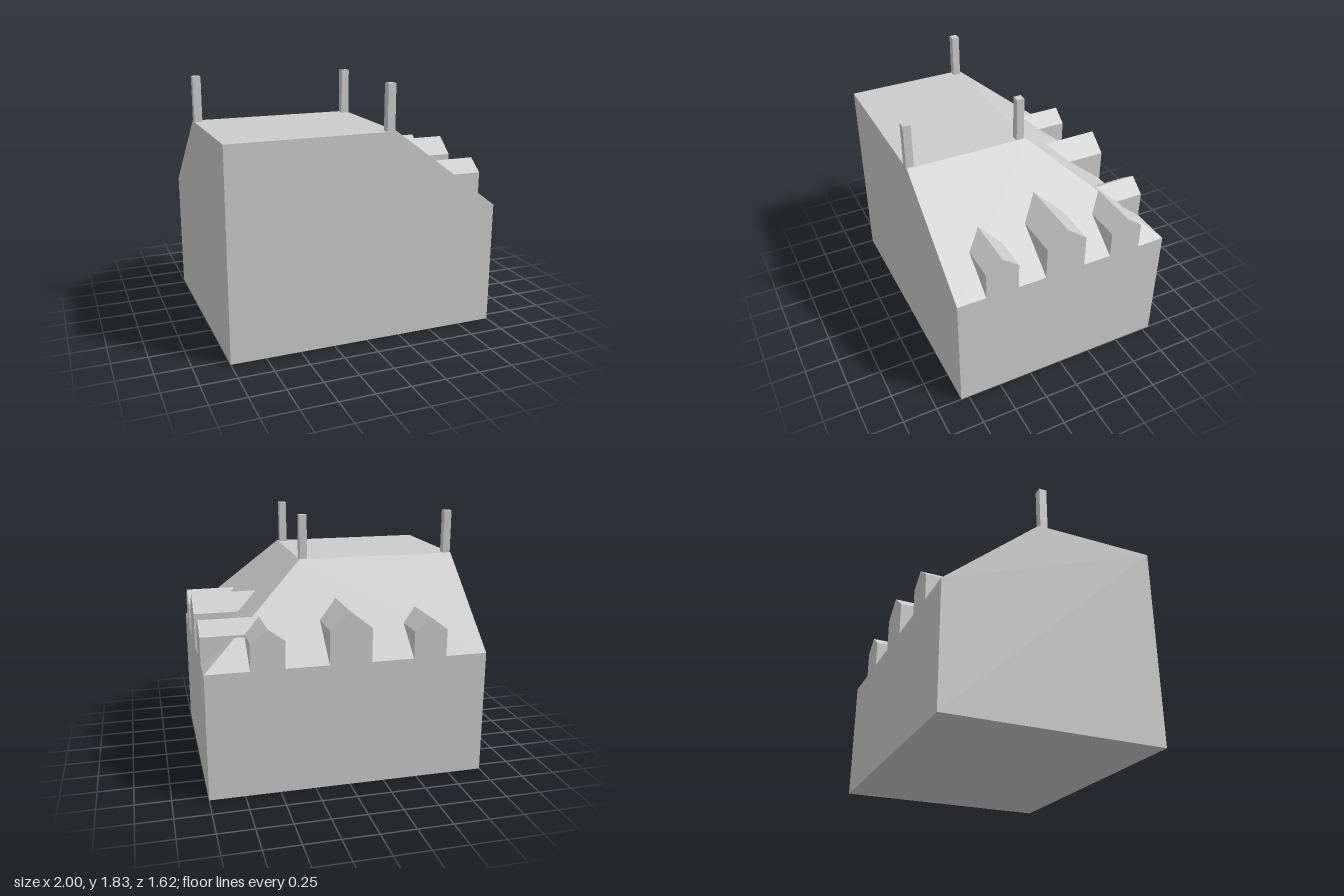
import * as THREE from 'three';
import { ConvexGeometry } from 'three/addons/geometries/ConvexGeometry.js';

const WALL_X = 1, WALL_Z = 0.81;      // half extents of the walls
const EAVE = 0.905, TOP = 1.505;      // eave and flat-roof heights
const HIP_X = 0.2, HIP_Z = -0.1;      // corner of the flat roof

const material = new THREE.MeshStandardMaterial({ color: 0xcccccc, flatShading: true });

function addMesh(parent, name, geometry) {
  const mesh = new THREE.Mesh(geometry, material);
  mesh.name = name;
  parent.add(mesh);
  return mesh;
}

// Walls and roof: a block whose right and back sides slope down to the eaves
function buildingGeometry() {
  const points = [];
  for (const x of [-WALL_X, WALL_X]) {
    for (const z of [-WALL_Z, WALL_Z]) points.push(new THREE.Vector3(x, 0, z));
  }
  points.push(
    new THREE.Vector3(WALL_X, EAVE, WALL_Z),
    new THREE.Vector3(WALL_X, EAVE, -WALL_Z),
    new THREE.Vector3(-WALL_X, EAVE, -WALL_Z),
    new THREE.Vector3(-WALL_X, TOP, WALL_Z),
    new THREE.Vector3(HIP_X, TOP, WALL_Z),
    new THREE.Vector3(HIP_X, TOP, HIP_Z),
    new THREE.Vector3(-WALL_X, TOP, HIP_Z),
  );
  return new ConvexGeometry(points);
}

// Gabled dormer: front at z = 0, running back into the roof
function dormerGeometry(half, eave, ridge, depth) {
  const shape = new THREE.Shape([
    new THREE.Vector2(-half, EAVE),
    new THREE.Vector2(half, EAVE),
    new THREE.Vector2(half, eave),
    new THREE.Vector2(0, ridge),
    new THREE.Vector2(-half, eave),
  ]);
  return new THREE.ExtrudeGeometry(shape, { depth, bevelEnabled: false }).translate(0, 0, -depth);
}

export function createModel() {
  const model = new THREE.Group();
  model.name = 'house';
  addMesh(model, 'wallsAndRoof', buildingGeometry());

  // Three dormers on each slope, the middle one larger
  for (const i of [-1, 0, 1]) {
    const [half, eave, ridge] = i === 0 ? [0.15, 1.147, 1.265] : [0.12, 1.1, 1.19];
    const rise = (ridge - EAVE) / (TOP - EAVE);

    // the rearmost one reaches past the hip to meet its neighbour
    const sideDepth = i === -1 ? 0.425 : rise * (WALL_X - HIP_X);
    const side = addMesh(model, 'rightDormer', dormerGeometry(half, eave, ridge, sideDepth));
    side.rotation.y = Math.PI / 2;
    side.position.set(WALL_X, 0, i * 0.48);

    const back = addMesh(model, 'backDormer',
      dormerGeometry(half, eave, ridge, rise * (WALL_Z + HIP_Z)));
    back.rotation.y = Math.PI;
    back.position.set(i * 0.575, 0, -WALL_Z);
  }

  // Chimneys on the corners of the flat roof
  const size = 0.057, height = 0.325;
  for (const [x, z] of [[-0.9715, -0.0585], [0.17, -0.0565], [0.157, 0.7815]]) {
    const chimney = addMesh(model, 'chimney', new THREE.BoxGeometry(size, height, size));
    chimney.position.set(x, TOP + height / 2, z);
  }
  return model;
}
